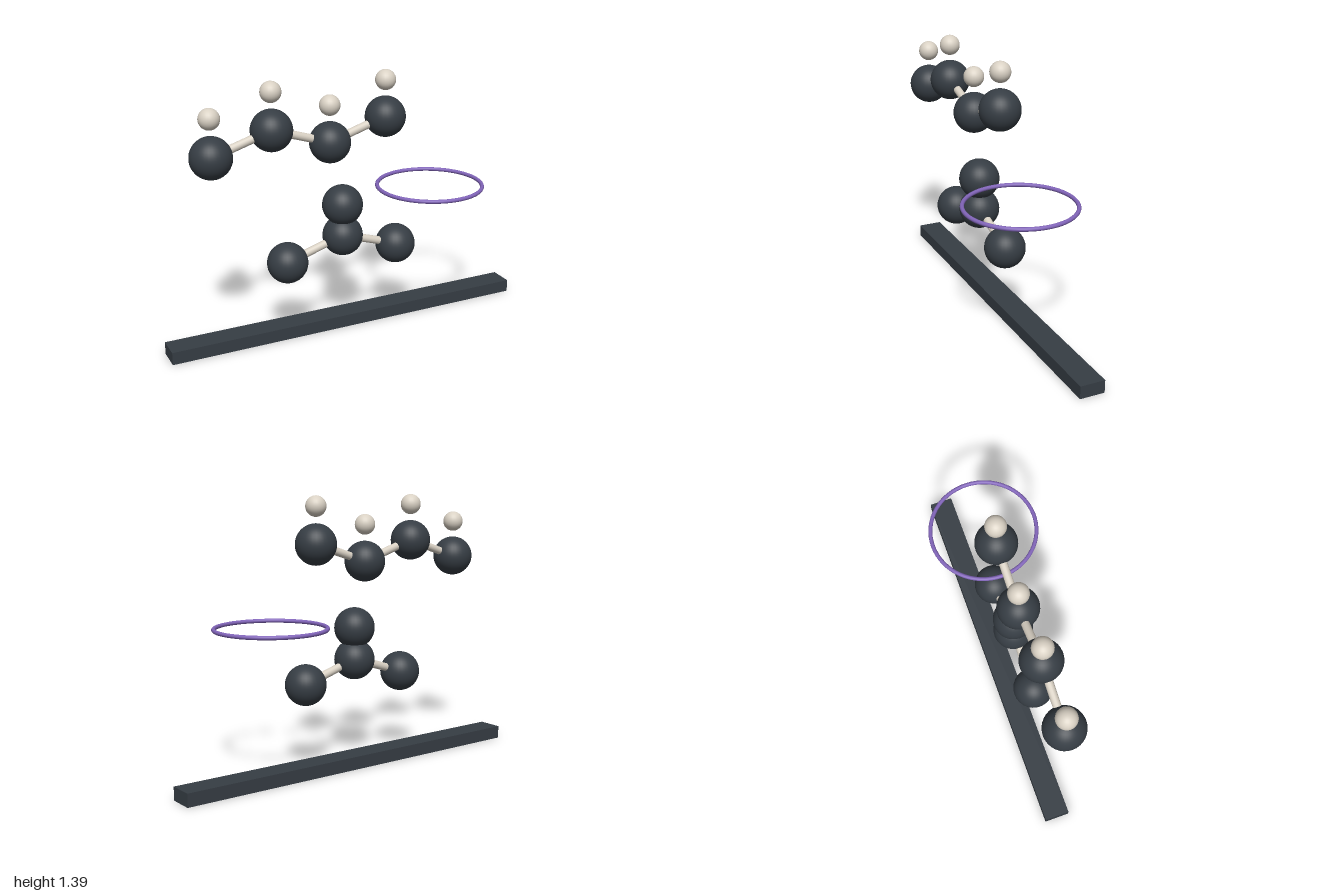
import * as THREE from 'three';

const material = (name, color) => {
  const m = new THREE.MeshStandardMaterial({ color });
  m.name = name;
  return m;
};

export function createModel() {
  const model = new THREE.Group();
  model.name = 'moleculeModel';
  const slate = material('dark slate', 0x363d44);
  const cream = material('warm cream', 0xd9d1c4);
  const purple = material('purple', 0x8265ba);
  const Z = -0.015; // plane shared by all atoms

  const add = (name, geometry, mat, x, y, z) => {
    const mesh = new THREE.Mesh(geometry, mat);
    mesh.name = name;
    mesh.position.set(x, y, z);
    model.add(mesh);
    return mesh;
  };

  const largeBall = new THREE.SphereGeometry(0.105, 32, 24);
  const smallBall = new THREE.SphereGeometry(0.053, 24, 16);

  // Rod joining two atom centres
  const addBond = ([x1, y1], [x2, y2]) => {
    const dx = x2 - x1, dy = y2 - y1;
    const rod = new THREE.CylinderGeometry(0.021, 0.021, Math.hypot(dx, dy), 16);
    const bond = add('bond', rod, cream, (x1 + x2) / 2, (y1 + y2) / 2, Z);
    bond.rotation.z = Math.atan2(dy, dx) - Math.PI / 2;
  };

  // Zigzag of large atoms joined by rods
  const addChain = (name, points) => points.forEach((p, i) => {
    add(name, largeBall, slate, p[0], p[1], Z);
    if (i > 0) addBond(points[i - 1], p);
  });

  // Upper chain, with a small atom floating above each large one
  const upper = [[-0.755, 1.047], [-0.445, 1.145], [-0.135, 1.047], [0.175, 1.145]];
  addChain('upperAtom', upper);
  upper.forEach(([x, y]) => add('smallAtom', smallBall, cream, x, y + 0.189, Z));

  // Lower branch with its overlapping top atom
  addChain('lowerAtom', [[-0.378, 0.443], [-0.068, 0.541], [0.242, 0.443]]);
  add('topAtom', largeBall, slate, -0.068, 0.707, Z);

  // Flat-lying ring
  const ring = add('ring', new THREE.TorusGeometry(0.278, 0.0105, 12, 64), purple, 0.437, 0.745, 0);
  ring.rotation.x = Math.PI / 2;

  // Base bar, set towards the back
  add('baseBar', new THREE.BoxGeometry(2, 0.067, 0.13), slate, 0, 0.0335, -0.097);

  return model;
}
